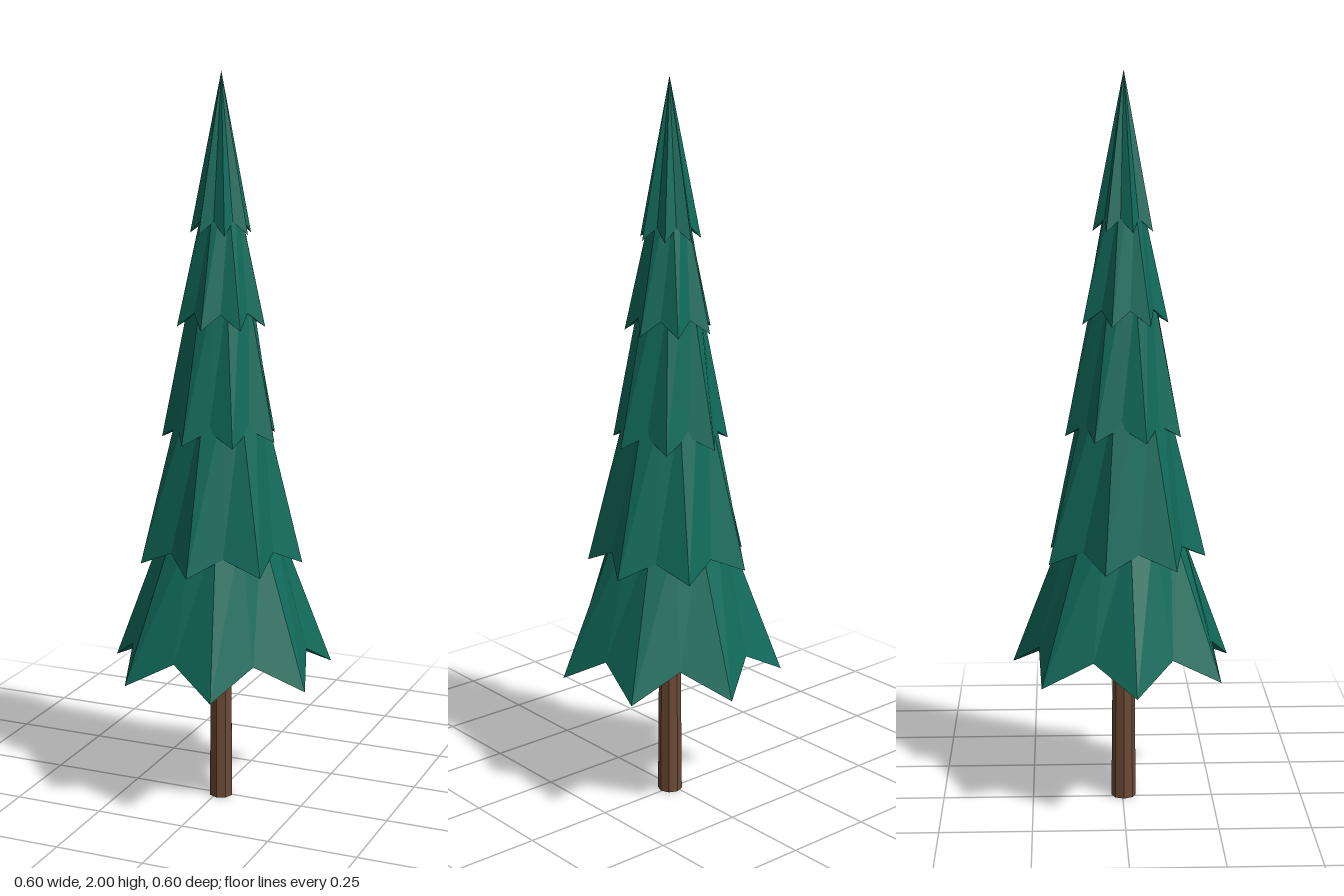
import * as THREE from 'three';

const POINTS = 7;            // branch tips per tier
const CX = 0.011, CZ = 0.003; // trunk axis

// Tier: tip radius/height, notch radius/height, top radius/height, rotation in degrees
const TIERS = [
  { tip: [0.31, 0.38], notch: [0.245, 0.455], top: [0.15, 0.80], turn: 21 },
  { tip: [0.225, 0.69], notch: [0.175, 0.735], top: [0.115, 1.13], turn: -11.5 },
  { tip: [0.16, 1.03], notch: [0.125, 1.07], top: [0.082, 1.42], turn: 5 },
  { tip: [0.12, 1.335], notch: [0.09, 1.375], top: [0.048, 1.66], turn: -9 },
  { tip: [0.083, 1.58], notch: [0.058, 1.615], top: [0, 2.0], turn: 10 },
];

// Star-edged skirt with a raised underside
function tierGeometry({ tip, notch, top, turn }) {
  const n = POINTS * 2;
  const at = ([r, y], i) => {
    const a = THREE.MathUtils.degToRad(turn) + (i * Math.PI) / POINTS;
    return [r * Math.cos(a), y, r * Math.sin(a)];
  };
  const rim = (i) => at(i % 2 ? notch : tip, i);
  const under = [0, notch[1] + (notch[1] - tip[1]) * 0.8, 0];
  const verts = [];
  for (let i = 0; i < n; i++) {
    const l0 = rim(i), l1 = rim(i + 1), u0 = at(top, i), u1 = at(top, i + 1);
    verts.push(...l0, ...u0, ...l1);
    if (top[0] > 0) {
      verts.push(...l1, ...u0, ...u1);
      verts.push(...u0, 0, top[1], 0, ...u1); // hidden cap
    }
    verts.push(...under, ...l0, ...l1);
  }
  const geo = new THREE.BufferGeometry();
  geo.setAttribute('position', new THREE.Float32BufferAttribute(verts, 3));
  geo.computeVertexNormals();
  return geo;
}

export function createModel() {
  const needles = new THREE.MeshStandardMaterial({ color: 0x116b5b, flatShading: true });
  needles.name = 'needleGreen';
  const bark = new THREE.MeshStandardMaterial({ color: 0x6b4a35, flatShading: true });
  bark.name = 'barkBrown';

  const tree = new THREE.Group();
  tree.name = 'pineTree';

  // Trunk
  const trunk = new THREE.Mesh(new THREE.CylinderGeometry(0.029, 0.034, 0.56, 8), bark);
  trunk.name = 'trunk';
  trunk.position.set(CX, 0.28, CZ);
  tree.add(trunk);

  // Foliage tiers, bottom to top
  TIERS.forEach((tier, i) => {
    const mesh = new THREE.Mesh(tierGeometry(tier), needles);
    mesh.name = `foliageTier${i + 1}`;
    mesh.position.set(CX, 0, CZ);
    tree.add(mesh);
  });
  return tree;
}
